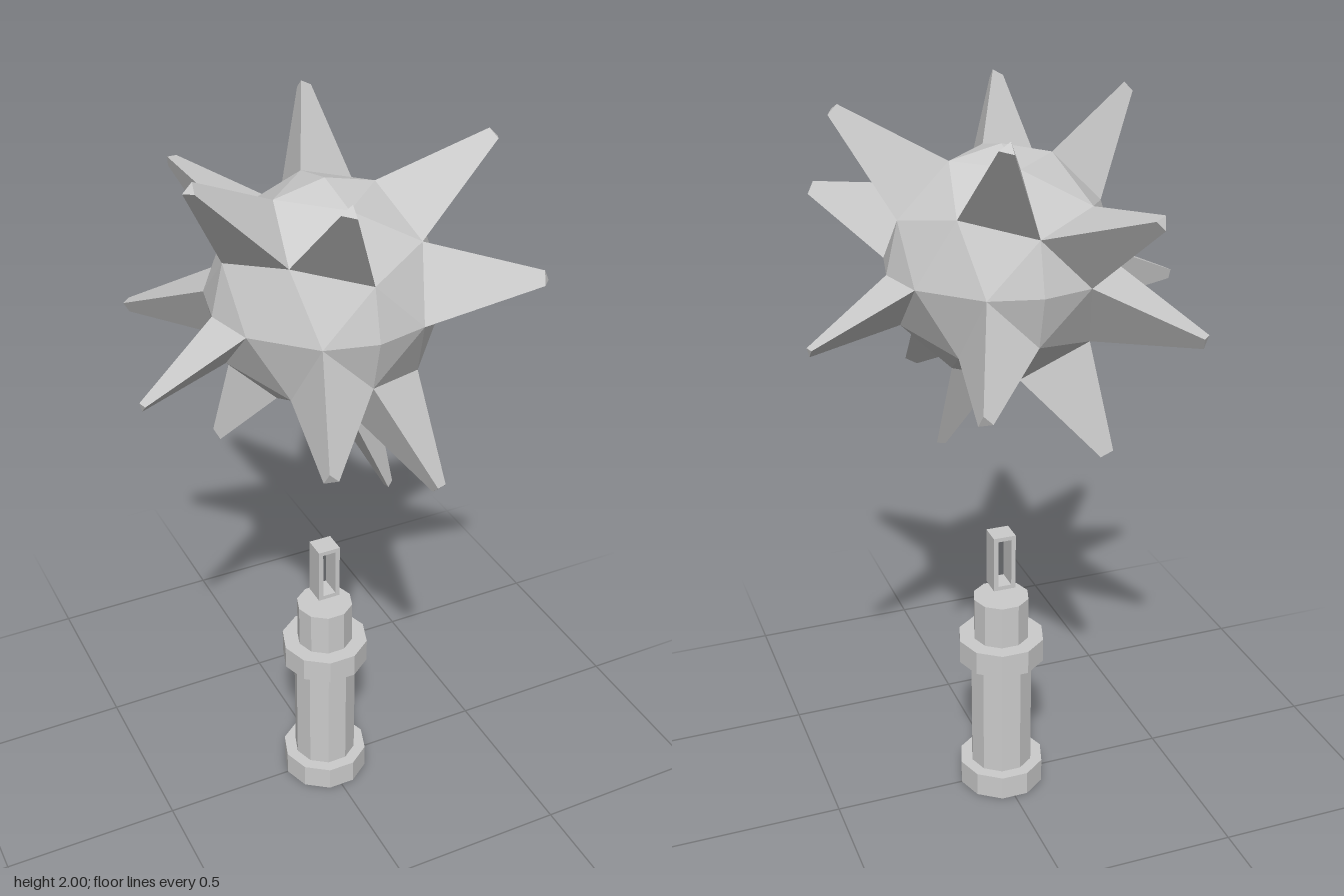
import * as THREE from 'three';

const GREY = new THREE.MeshStandardMaterial({ color: 0xcccccc, flatShading: true });
const BALL_RADIUS = 0.303;
const BALL_HEIGHT = 1.596;
const SPIKE_REACH = 0.565; // ball centre to spike tip
const TIP_SCALE = 0.18;    // blunt tip size relative to the base triangle

// Rough direction of each spike; the ball face closest to it grows the spike
const SPIKES = [
  [-3, 3, 1], [3, 3, 1], [-1, 3, 3], [1, 3, -3],       // upper ring
  [3, 1, 3], [-3, -1, -3],                             // corners
  [-1, 1, -2.23], [1, -1, -2.23], [-1, -1, 2.23],      // back and front
  [4.2, -1, -1], [-4.2, -1, 1],                        // sides
  [1, -3, 3], [-1, -2.23, -1], [1, -4.2, 1],           // underside
];

function mesh(name, geometry, y = 0) {
  const m = new THREE.Mesh(geometry, GREY);
  m.name = name;
  m.position.y = y;
  return m;
}

// Ten-sided drum standing between two heights, with a corner on the x axis
function drum(name, radius, y0, y1) {
  const g = new THREE.CylinderGeometry(radius, radius, y1 - y0, 10);
  g.rotateY(Math.PI / 2);
  return mesh(name, g, (y0 + y1) / 2);
}

// Triangles of the ball with their normals
function ballFaces(geometry) {
  const p = geometry.attributes.position;
  const faces = [];
  for (let i = 0; i < p.count; i += 3) {
    const v = [0, 1, 2].map((k) => new THREE.Vector3().fromBufferAttribute(p, i + k));
    const t = new THREE.Triangle(...v);
    faces.push({
      v,
      normal: t.getNormal(new THREE.Vector3()),
      middle: t.getMidpoint(new THREE.Vector3()),
    });
  }
  return faces;
}

// Tapered three-sided spike from a base triangle to a small blunt tip
function spikeGeometry({ v, normal, middle }) {
  const tip = v.map((p) => p.clone().sub(middle).multiplyScalar(TIP_SCALE)
    .addScaledVector(normal, SPIKE_REACH));
  const points = [...tip];
  for (let i = 0; i < 3; i++) {
    const j = (i + 1) % 3;
    points.push(v[i], v[j], tip[j], v[i], tip[j], tip[i]);
  }
  const g = new THREE.BufferGeometry().setFromPoints(points);
  g.computeVertexNormals();
  return g;
}

// Rectangular path for the link's outline and opening
function rectangle(Path, x, y0, y1) {
  const path = new Path();
  path.moveTo(-x, y0);
  path.lineTo(x, y0);
  path.lineTo(x, y1);
  path.lineTo(-x, y1);
  path.closePath();
  return path;
}

export function createModel() {
  const model = new THREE.Group();
  model.name = 'spikedBallMace';

  // Handle
  const handle = new THREE.Group();
  handle.name = 'handle';
  handle.add(
    drum('pommel', 0.124, 0, 0.072),
    drum('grip', 0.09, 0.072, 0.42),
    drum('collar', 0.124, 0.42, 0.49),
    drum('neck', 0.08, 0.49, 0.617),
  );
  model.add(handle);

  // Chain link floating above the neck, open from front to back
  const outline = rectangle(THREE.Shape, 0.032, 0.652, 0.817);
  outline.holes.push(rectangle(THREE.Path, 0.019, 0.664, 0.805));
  const link = new THREE.ExtrudeGeometry(outline, { depth: 0.062, bevelEnabled: false });
  link.translate(0, 0, -0.031);
  model.add(mesh('chainLink', link));

  // Faceted ball with its spikes
  const head = new THREE.Group();
  head.name = 'spikedHead';
  head.position.y = BALL_HEIGHT;
  const ball = new THREE.OctahedronGeometry(BALL_RADIUS, 2);
  head.add(mesh('ball', ball));
  const faces = ballFaces(ball);
  for (const s of SPIKES) {
    const dir = new THREE.Vector3(...s).normalize();
    const face = faces.reduce((a, b) => (b.normal.dot(dir) > a.normal.dot(dir) ? b : a));
    head.add(mesh('spike', spikeGeometry(face)));
  }
  model.add(head);

  return model;
}
